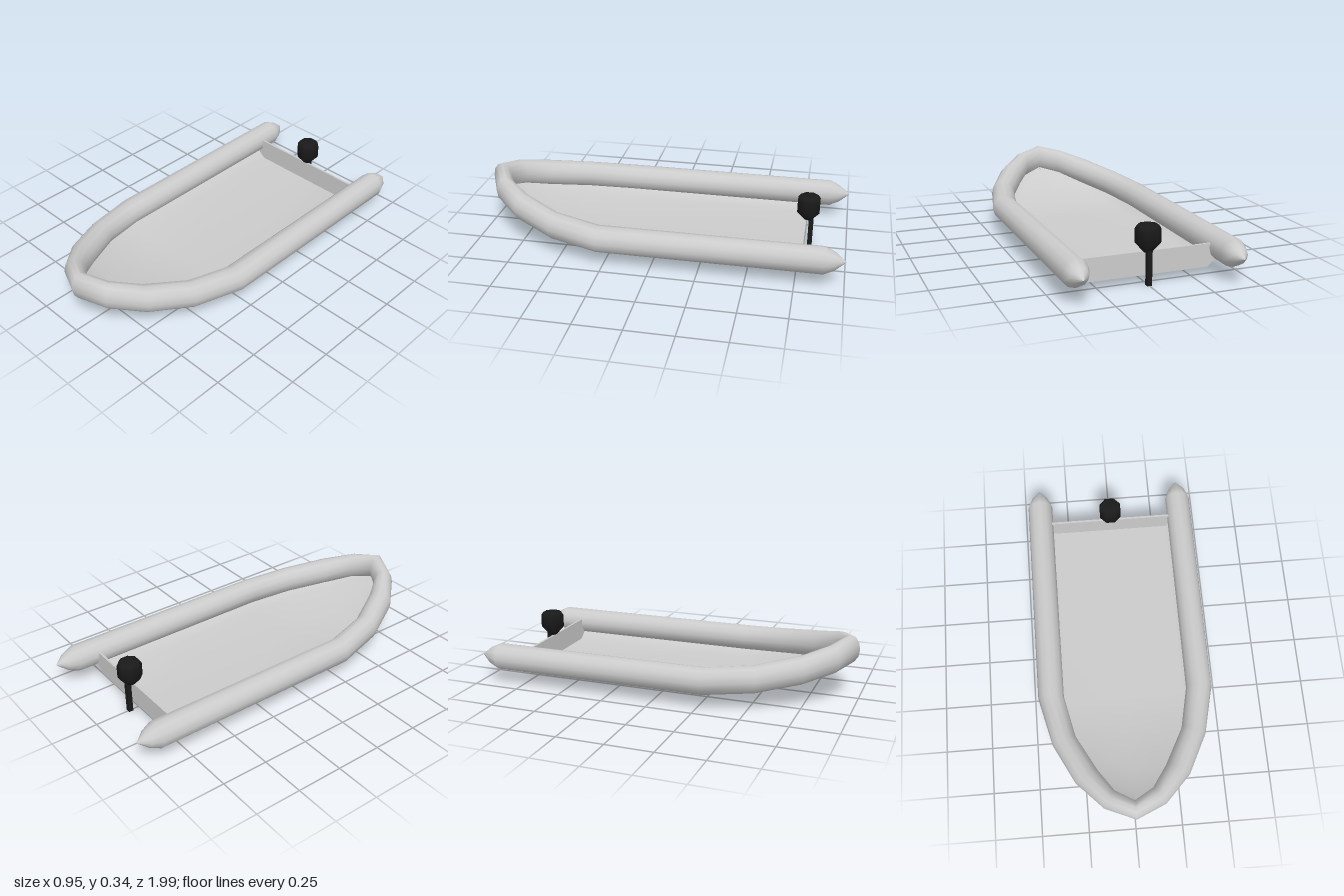
import * as THREE from 'three';

// Skins a list of cross-sections (arrays of [x, y, z]) with smooth normals.
function loft(sections, closed) {
  const n = sections[0].length;
  const index = [];
  for (let i = 0; i < sections.length - 1; i++) {
    for (let j = 0; j < (closed ? n : n - 1); j++) {
      const k = (j + 1) % n;
      const a = i * n + j, b = a + n, c = i * n + k, d = c + n;
      index.push(a, c, b, b, c, d);
    }
  }
  const g = new THREE.BufferGeometry();
  g.setAttribute('position', new THREE.Float32BufferAttribute(sections.flat(2), 3));
  g.setIndex(index);
  g.computeVertexNormals();
  return g;
}

export function createModel() {
  const model = new THREE.Group();
  const grey = new THREE.MeshStandardMaterial({ color: 0xcccccc });
  const greySheet = new THREE.MeshStandardMaterial({ color: 0xcccccc, side: THREE.DoubleSide });
  const black = new THREE.MeshStandardMaterial({ color: 0x1a1a1a });
  const add = (name, geometry, material, x = 0, y = 0, z = 0) => {
    const mesh = new THREE.Mesh(geometry, material);
    mesh.name = name;
    mesh.position.set(x, y, z);
    model.add(mesh);
    return mesh;
  };

  // Inflatable tube: outer x, z, inner x, z, centre height, vertical radius
  const stations = [
    [0.406, -1.0, 0.404, -1.0, 0.143, 0.001],
    [0.453, -0.945, 0.357, -0.945, 0.143, 0.046],
    [0.475, -0.89, 0.335, -0.89, 0.143, 0.072],
    [0.475, 0.28, 0.335, 0.28, 0.143, 0.072],
    [0.41, 0.55, 0.285, 0.51, 0.165, 0.073],
    [0.30, 0.77, 0.18, 0.71, 0.203, 0.074],
    [0.16, 0.92, 0.10, 0.83, 0.242, 0.075],
    [0, 0.993, 0, 0.893, 0.267, 0.076],
  ];
  const sides = 12;
  const ring = ([ox, oz, ix, iz, y, r]) => Array.from({ length: sides }, (_, j) => {
    const a = (j / sides) * Math.PI * 2;
    const t = (1 + Math.cos(a)) / 2;
    return [ix + (ox - ix) * t, y + r * Math.sin(a), iz + (oz - iz) * t];
  });
  const half = stations.map(ring);
  const mirrored = half.slice(0, -1).reverse().map(s => s.map(([x, y, z]) => [-x, y, z]));
  add('inflatableTube', loft([...half, ...mirrored], true), grey);

  // Hull sheet: rim x, y, z and chine x, y, z at each station
  const hull = [
    [0.375, 0.08, -0.77, 0.325, 0.045, -0.77],
    [0.375, 0.08, 0.28, 0.325, 0.045, 0.28],
    [0.325, 0.105, 0.525, 0.28, 0.07, 0.505],
    [0.22, 0.143, 0.73, 0.18, 0.112, 0.70],
    [0.11, 0.185, 0.86, 0.085, 0.16, 0.82],
    [0.001, 0.212, 0.915, 0.001, 0.197, 0.88],
  ].map(([rx, ry, rz, cx, cy, cz]) =>
    [[rx, ry, rz], [cx, cy, cz], [0, cy, cz], [-cx, cy, cz], [-rx, ry, rz]]);
  add('hull', loft(hull, false), greySheet);

  // Transom board across the stern
  const board = new THREE.Shape([
    [-0.325, 0.045], [0.325, 0.045], [0.375, 0.085], [0.36, 0.165], [-0.36, 0.165], [-0.375, 0.085],
  ].map(p => new THREE.Vector2(...p)));
  add('transom', new THREE.ExtrudeGeometry(board, { depth: 0.012, bevelEnabled: false }), grey, 0, 0, -0.778);

  // Outboard motor: tapered cowl and a leg
  const profile = [[0, 0.165], [0.022, 0.165], [0.064, 0.212], [0.064, 0.28], [0.052, 0.299], [0, 0.302]]
    .map(p => new THREE.Vector2(...p));
  const cowl = new THREE.LatheGeometry(profile, 8);
  cowl.rotateY(Math.PI / 8);
  add('motorCowl', cowl, black, 0, 0, -0.785);
  add('motorLeg', new THREE.BoxGeometry(0.025, 0.21, 0.025), black, 0, 0.105, -0.803);

  return model;
}
